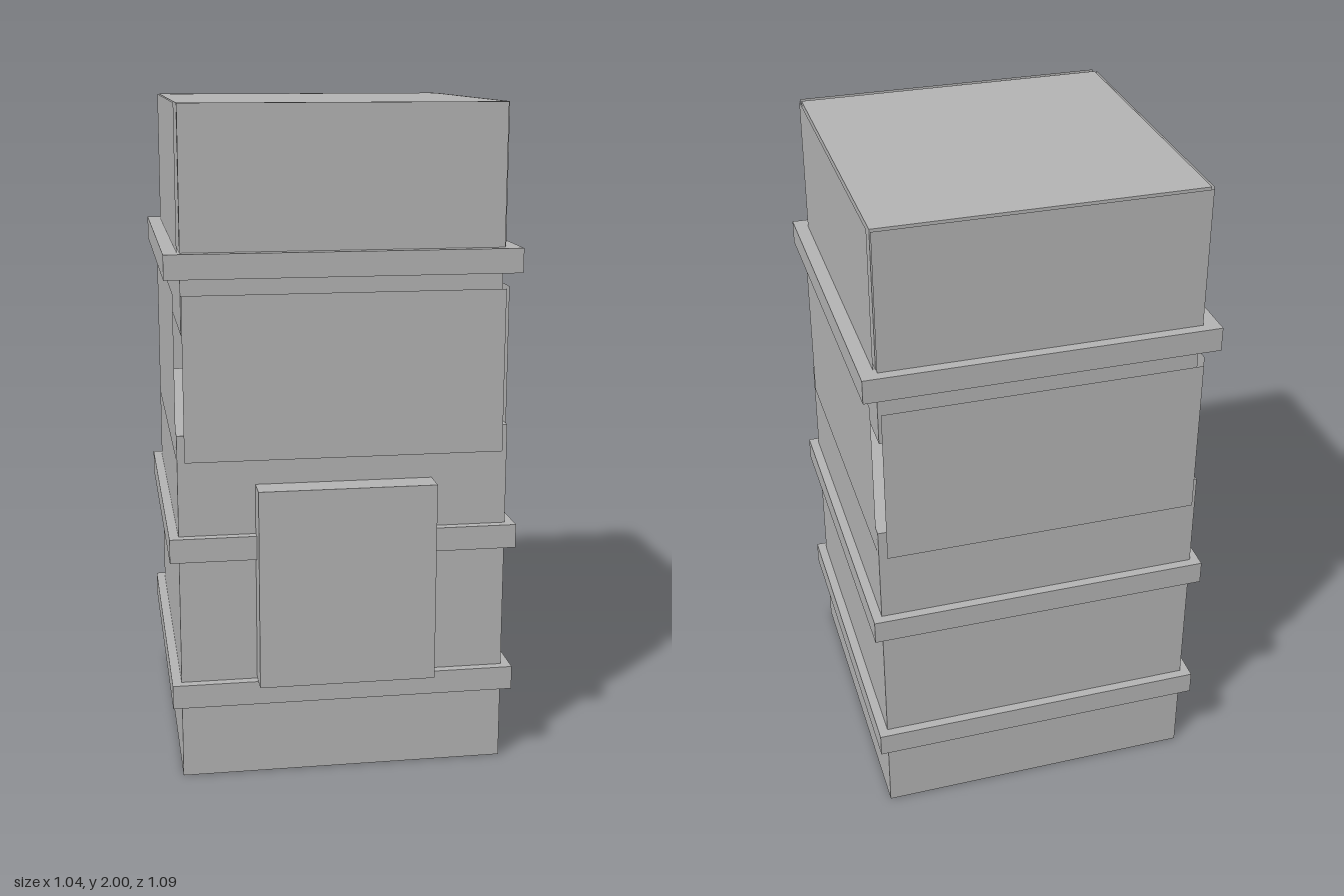
import * as THREE from 'three';

export function createModel() {
  const model = new THREE.Group();
  model.name = 'bandedTower';
  const grey = new THREE.MeshStandardMaterial({ color: 0xb2b2b2, side: THREE.DoubleSide });
  grey.name = 'plain grey';
  const CZ = -0.03; // the tower's axis; the front door shifts it off centre

  // Box spanning y0..y1
  const block = (name, w, d, y0, y1, z = CZ) => {
    const mesh = new THREE.Mesh(new THREE.BoxGeometry(w, y1 - y0, d), grey);
    mesh.position.set(0, (y0 + y1) / 2, z);
    mesh.name = name;
    model.add(mesh);
  };

  // Four flat sheets around the tower, open at the corners
  const sheets = (name, width, y0, y1, frontOffset, sideOffset) => {
    const group = new THREE.Group();
    group.name = name;
    ['Front', 'Left', 'Back', 'Right'].forEach((side, i) => {
      const angle = i * Math.PI / 2;
      const r = i % 2 ? sideOffset : frontOffset;
      const mesh = new THREE.Mesh(new THREE.PlaneGeometry(width, y1 - y0), grey);
      mesh.position.set(Math.sin(angle) * r, (y0 + y1) / 2, Math.cos(angle) * r);
      mesh.rotation.y = angle;
      mesh.name = name + side;
      group.add(mesh);
    });
    group.position.z = CZ;
    model.add(group);
  };

  // Lower and upper blocks with an open storey between them
  block('lowerBody', 0.98, 0.98, 0, 1.06);
  block('upperBody', 0.94, 0.94, 1.35, 2);

  // Sheets closing the open storey and facing the top
  sheets('middlePanel', 0.94, 0.985, 1.47, 0.515, 0.491);
  sheets('topPanel', 0.94, 1.53, 2, 0.487, 0.477);

  // Projecting bands
  for (const y of [0.23, 0.685, 1.515]) block('band', 1.036, 1.036, y, y + 0.072);

  // Front door slab
  block('door', 0.526, 0.1, 0.305, 0.907, 0.495);

  return model;
}
